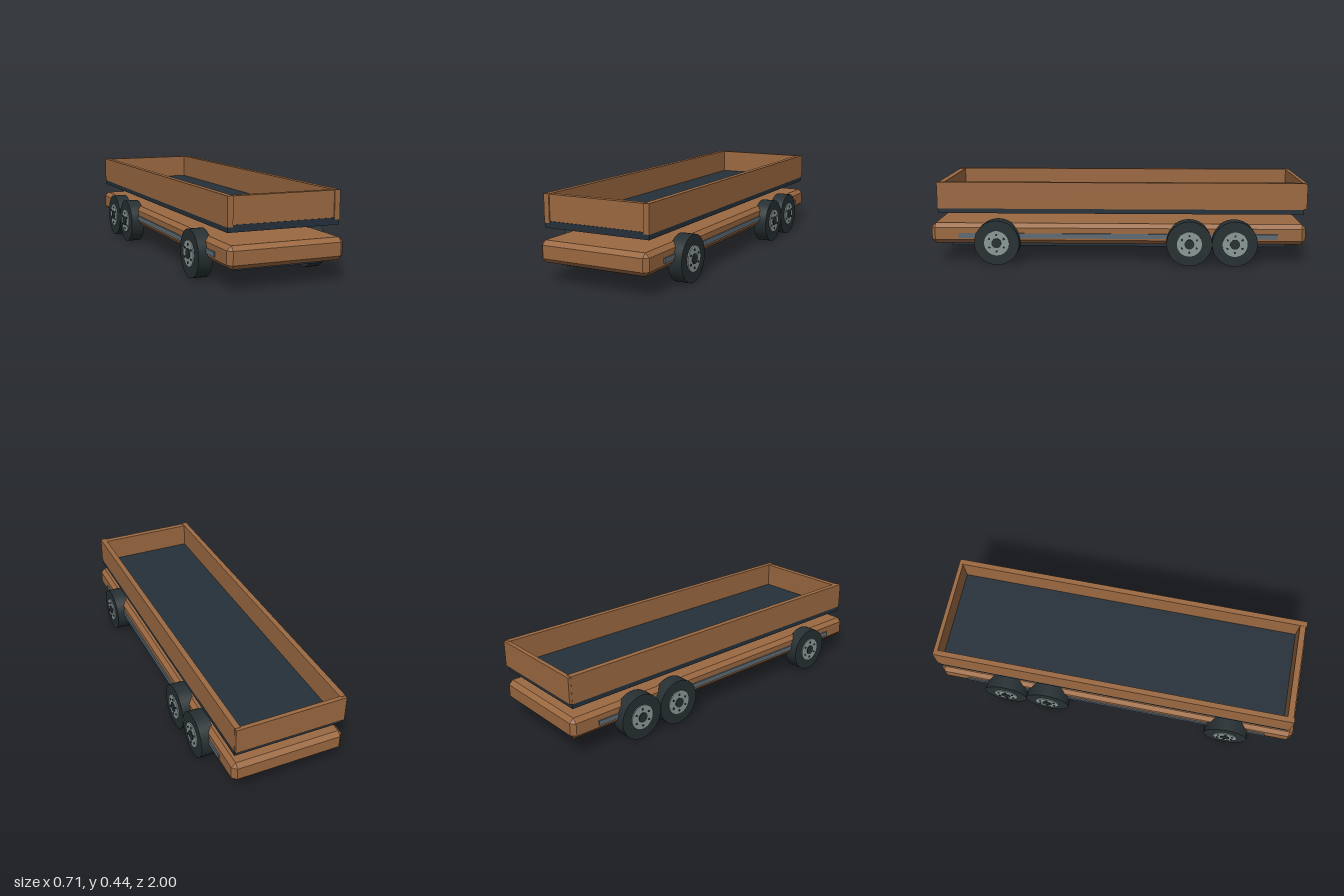
import * as THREE from 'three';
import { ConvexGeometry } from 'three/addons/geometries/ConvexGeometry.js';

const mat = (color) => new THREE.MeshStandardMaterial({ color });
const brown = mat(0x9a6840), slate = mat(0x25303a), rubber = mat(0x262f32);
const steel = mat(0x8a9896), strip = mat(0x5c6a74);

// Box with every edge cut at 45 degrees
function chamferedBox(w, h, d, b) {
  const pts = [], [x, y, z] = [w / 2, h / 2, d / 2];
  for (const i of [-1, 1]) for (const j of [-1, 1]) for (const k of [-1, 1]) {
    pts.push(
      new THREE.Vector3(i * x, j * (y - b), k * (z - b)),
      new THREE.Vector3(i * (x - b), j * y, k * (z - b)),
      new THREE.Vector3(i * (x - b), j * (y - b), k * z));
  }
  return new ConvexGeometry(pts);
}

function add(parent, name, geometry, material, x, y, z) {
  const mesh = new THREE.Mesh(geometry, material);
  mesh.name = name;
  mesh.position.set(x, y, z);
  parent.add(mesh);
  return mesh;
}

// Box given by its limits on each axis
function addBox(parent, name, material, x0, x1, y0, y1, z0, z1) {
  return add(parent, name, new THREE.BoxGeometry(x1 - x0, y1 - y0, z1 - z0), material,
    (x0 + x1) / 2, (y0 + y1) / 2, (z0 + z1) / 2);
}

// Cylinder whose axis runs along x
function addDisc(parent, name, material, radius, width, x, y = 0, z = 0, sides = 40) {
  const geometry = new THREE.CylinderGeometry(radius, radius, width, sides).rotateZ(Math.PI / 2);
  return add(parent, name, geometry, material, x, y, z);
}

function createWheel() {
  const wheel = new THREE.Group();
  wheel.name = 'wheel';
  addDisc(wheel, 'tyre', rubber, 0.12, 0.074, 0);
  addDisc(wheel, 'rim', steel, 0.066, 0.086, 0);
  addDisc(wheel, 'hubCap', rubber, 0.026, 0.094, 0, 0, 0, 24);
  for (let i = 0; i < 6; i++) {
    const a = (i / 6) * Math.PI * 2;
    addDisc(wheel, 'wheelBolt', rubber, 0.006, 0.092, 0, Math.cos(a) * 0.045, Math.sin(a) * 0.045, 8);
  }
  return wheel;
}

export function createModel() {
  const model = new THREE.Group();
  model.name = 'flatbedWagon';

  // Chassis with its underplate
  add(model, 'chassis', chamferedBox(0.6, 0.11, 2, 0.022), brown, 0, 0.16, 0);
  addBox(model, 'underplate', slate, -0.23, 0.23, 0.08, 0.11, -0.905, 0.905);

  // Open cargo tray floating above the chassis
  const tray = new THREE.Group();
  tray.name = 'cargoTray';
  addBox(tray, 'trayFloor', slate, -0.289, 0.289, 0.27, 0.304, -0.985, 0.96);
  addBox(tray, 'frontWall', brown, -0.263, 0.263, 0.304, 0.435, 0.925, 0.957);
  addBox(tray, 'backWall', brown, -0.29, 0.29, 0.298, 0.435, -1, -0.978);
  for (const s of [-1, 1]) {
    const x = s * 0.2765;
    addBox(tray, 'sideWall', brown, x - 0.0145, x + 0.0145, 0.295, 0.437, -0.985, 0.963);
  }
  model.add(tray);

  // Side strips and wheels, mirrored left and right
  for (const s of [-1, 1]) {
    const x = s * 0.3;
    addBox(model, 'sideStrip', strip, x - 0.007, x + 0.007, 0.138, 0.164, -0.85, 0.85);
    for (const z of [0.64, -0.38, -0.62]) {
      const wheel = createWheel();
      wheel.position.set(s * 0.308, 0.12, z);
      model.add(wheel);
    }
  }
  return model;
}
